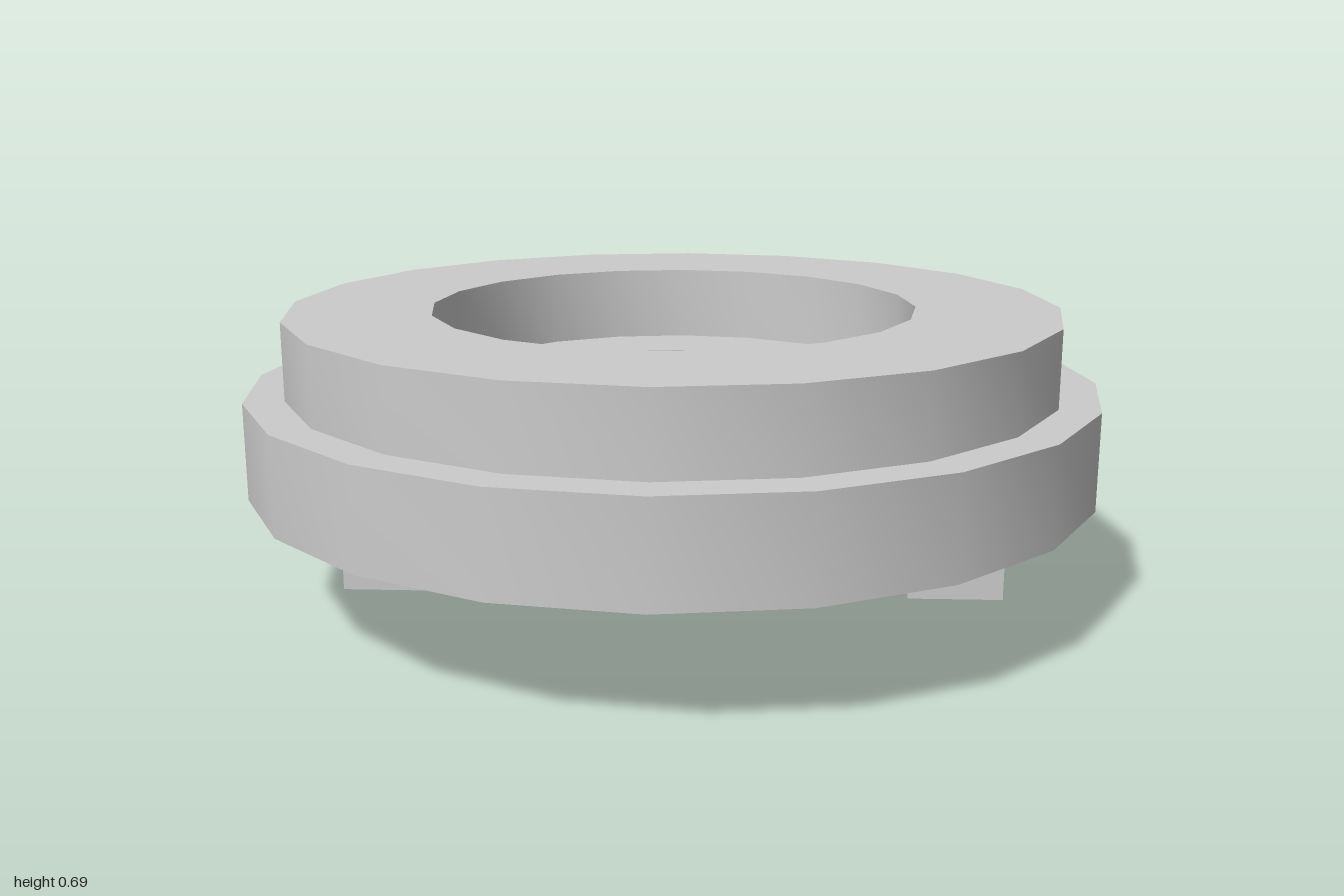
import * as THREE from 'three';
import { toCreasedNormals } from 'three/addons/utils/BufferGeometryUtils.js';

const SIDES = 20;
const BOTTOM = 0.28, STEP = 0.505, TOP = 0.685; // heights of the stepped body
const GROOVE = 0.38;                            // ceiling of the underside groove

export function createModel() {
  const model = new THREE.Group();
  const material = new THREE.MeshStandardMaterial({ color: 0xcccccc });

  // Stepped ring: wide flange, narrower collar, counterbored hole, groove below
  const profile = [
    [0.36, BOTTOM], [0.573, BOTTOM], [0.573, GROOVE], [0.625, GROOVE], [0.625, BOTTOM],
    [1, BOTTOM], [1, STEP], [0.907, STEP], [0.907, TOP],
    [0.57, TOP], [0.57, STEP], [0.36, STEP], [0.36, BOTTOM],
  ].map(([r, y]) => new THREE.Vector2(r, y));
  const ring = new THREE.Mesh(
    toCreasedNormals(new THREE.LatheGeometry(profile, SIDES), 0.6), material);
  ring.name = 'steppedRing';
  model.add(ring);

  // Two square lugs that rise into the groove
  for (const [name, x] of [['leftLug', 0.678], ['rightLug', -0.682]]) {
    const lug = new THREE.Mesh(new THREE.BoxGeometry(0.226, GROOVE, 0.23), material);
    lug.position.set(x, GROOVE / 2, 0);
    lug.name = name;
    model.add(lug);
  }
  return model;
}
